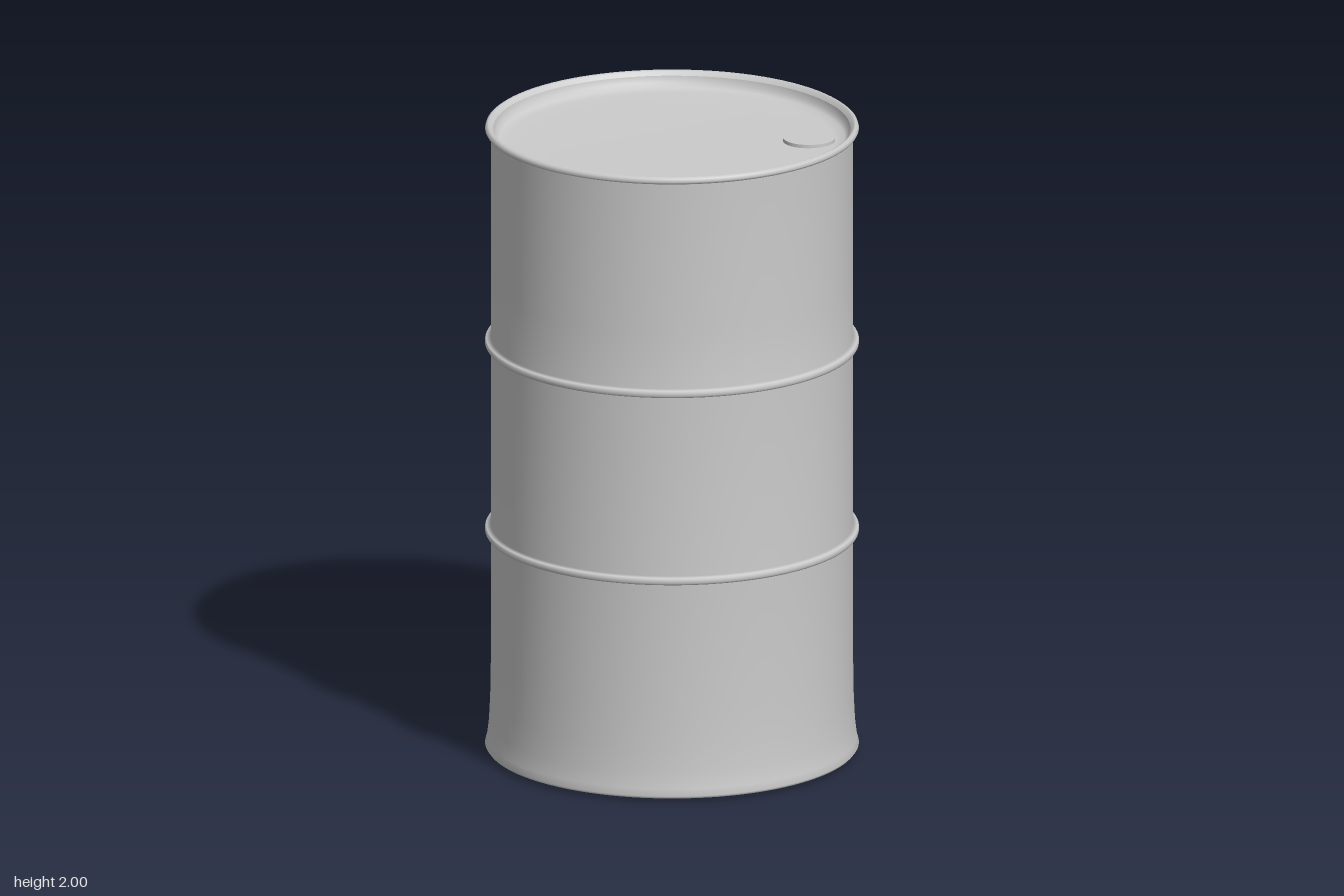
import * as THREE from 'three';

const SEGMENTS = 96;
const R = 0.555;    // shell radius
const RIM = 0.573;  // radius of hoops and rims

export function createModel() {
  const group = new THREE.Group();
  group.name = 'drum';
  const material = new THREE.MeshStandardMaterial({ color: 0xcccccc, side: THREE.DoubleSide });

  const lathe = (name, points) => {
    const geometry = new THREE.LatheGeometry(points.map(([r, y]) => new THREE.Vector2(r, y)), SEGMENTS);
    const mesh = new THREE.Mesh(geometry, material);
    mesh.name = name;
    group.add(mesh);
    return mesh;
  };

  // Rounded hoop pressed out of the shell at height y
  const hoop = (y) => [
    [R, y - 0.014], [RIM - 0.004, y - 0.011], [RIM, y - 0.005],
    [RIM, y + 0.005], [RIM - 0.004, y + 0.011], [R, y + 0.014],
  ];

  // Shell: flared foot, two hoops and rolled top rim
  lathe('shell', [
    [RIM - 0.006, 0.01], [RIM, 0.018], [0.567, 0.04], [0.561, 0.09], [0.557, 0.17], [R, 0.29],
    ...hoop(0.705),
    ...hoop(1.305),
    [R, 1.5], [R, 1.974], [RIM - 0.004, 1.979], [RIM, 1.986],
    [RIM - 0.003, 1.995], [RIM - 0.01, 2], [0.556, 1.997], [0.547, 1.985],
  ]);

  // Recessed lid with a soft rounded edge
  lathe('lid', [[0.547, 1.985], [0.543, 1.965], [0.53, 1.952], [0.5, 1.946], [0.4, 1.945], [0, 1.945]]);

  // Closed base, set slightly below the foot rim
  lathe('base', [[0, 0], [0.42, 0], [0.53, 0.004], [RIM - 0.006, 0.01]]);

  // Filler cap near the edge of the lid
  const cap = new THREE.Mesh(new THREE.CylinderGeometry(0.08, 0.08, 0.02, 48), material);
  cap.name = 'fillerCap';
  cap.position.set(0.42, 1.946, 0);
  group.add(cap);

  return group;
}
